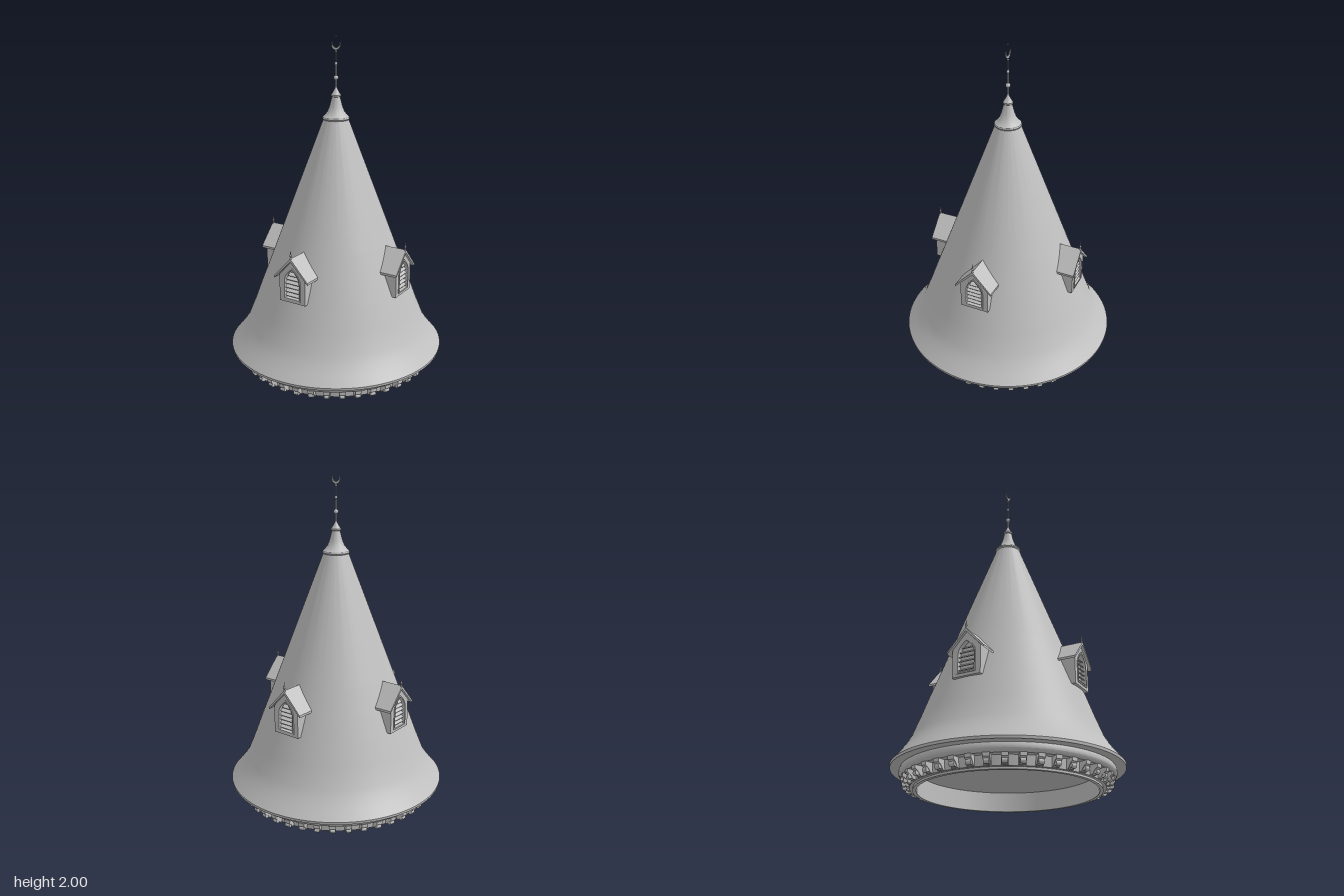
import * as THREE from 'three';
import { toCreasedNormals } from 'three/addons/utils/BufferGeometryUtils.js';

const stone = new THREE.MeshStandardMaterial({ color: 0xc0c0c0 });
stone.name = 'pale grey';

function add(parent, name, geometry, x = 0, y = 0, z = 0) {
  const mesh = new THREE.Mesh(geometry, stone);
  mesh.name = name;
  mesh.position.set(x, y, z);
  parent.add(mesh);
  return mesh;
}

// Turned solid from [radius, height] pairs, listed from the bottom up
function turned(points, segments = 96) {
  const profile = points.map(([r, y]) => new THREE.Vector2(r, y));
  return toCreasedNormals(new THREE.LatheGeometry(profile, segments), 0.5);
}

function polygon(points) {
  return new THREE.Shape(points.map(([x, y]) => new THREE.Vector2(x, y)));
}

function extrude(shape, depth, curveSegments = 8) {
  return new THREE.ExtrudeGeometry(shape, { depth, bevelEnabled: false, curveSegments });
}

// Pointed arch outline, grown outward by an offset
function archPath(Type, offset = 0) {
  const w = 0.05 + offset, bottom = 0.555 - offset, spring = 0.65, top = 0.732 + offset * 1.3;
  const p = new Type();
  p.moveTo(-w, bottom);
  p.lineTo(w, bottom);
  p.lineTo(w, spring);
  p.quadraticCurveTo(w, spring + 0.05, 0, top);
  p.quadraticCurveTo(-w, spring + 0.05, -w, spring);
  p.lineTo(-w, bottom);
  return p;
}

function createDormer() {
  const dormer = new THREE.Group();
  dormer.name = 'dormer';
  const outline = [[-0.0875, 0.53], [0.0875, 0.53], [0.0875, 0.692], [0, 0.784], [-0.0875, 0.692]];

  // Solid body and a front wall pierced by the window
  add(dormer, 'dormerBody', extrude(polygon(outline), 0.14), 0, 0, 0.3);
  const wall = polygon(outline);
  wall.holes.push(archPath(THREE.Path));
  add(dormer, 'dormerFrontWall', extrude(wall, 0.025), 0, 0, 0.44);

  // Raised window surround
  const frame = archPath(THREE.Shape, 0.008);
  frame.holes.push(archPath(THREE.Path));
  add(dormer, 'windowFrame', extrude(frame, 0.005), 0, 0, 0.465);

  // Sloping louvres
  for (let i = 0; i < 6; i++) {
    const width = i < 4 ? 0.1 : i === 4 ? 0.088 : 0.06;
    const slat = add(dormer, 'louvre', new THREE.BoxGeometry(width, 0.005, 0.024), 0, 0.572 + i * 0.025, 0.45);
    slat.rotation.x = 0.6;
  }

  // Gabled roof
  const roof = polygon([[-0.115, 0.68], [-0.115, 0.667], [0, 0.784], [0.115, 0.667], [0.115, 0.68], [0, 0.803]].reverse());
  add(dormer, 'dormerRoof', extrude(roof, 0.18), 0, 0, 0.3);

  // Ridge spike
  const spike = turned([[0, 0.795], [0.006, 0.797], [0.004, 0.812], [0.007, 0.819], [0.004, 0.826], [0, 0.856]], 12);
  add(dormer, 'ridgeSpike', spike, 0, 0, 0.474);
  return dormer;
}

function createFinial() {
  const finial = new THREE.Group();
  finial.name = 'finial';

  // Bell-shaped cap with collars
  add(finial, 'finialCap', turned([
    [0.06, 1.515], [0.074, 1.516], [0.08, 1.525], [0.077, 1.535], [0.068, 1.542],
    [0.05, 1.565], [0.038, 1.595], [0.03, 1.625], [0.024, 1.65], [0.028, 1.653],
    [0.029, 1.662], [0.024, 1.668], [0.016, 1.682], [0.008, 1.697], [0.005, 1.71], [0, 1.71],
  ], 48));

  // Rod with beads
  add(finial, 'finialRod', new THREE.CylinderGeometry(0.0035, 0.0055, 0.225, 12), 0, 1.806, 0);
  for (const [y, r] of [[1.76, 0.014], [1.84, 0.009], [1.908, 0.006]]) {
    add(finial, 'finialBead', new THREE.SphereGeometry(r, 20, 14), 0, y, 0);
  }

  // Upturned crescent and the small point above it
  const moon = new THREE.Shape();
  moon.absarc(0, 0, 0.03, Math.PI - 0.571, Math.PI * 2 + 0.571, false);
  moon.absarc(0, 0.01, 0.026, 0.241, Math.PI - 0.241, true);
  add(finial, 'crescent', extrude(moon, 0.006, 24), 0, 1.946, -0.003);
  add(finial, 'topPoint', new THREE.OctahedronGeometry(0.005), 0, 1.995, 0);
  return finial;
}

export function createModel() {
  const model = new THREE.Group();
  model.name = 'towerRoof';

  // Ceiling, inner wall and cornice under the eaves
  add(model, 'cornice', turned([
    [0, 0.113], [0.5, 0.113], [0.5, 0], [0.52, 0], [0.52, 0.012], [0.538, 0.012],
    [0.543, 0.066], [0.582, 0.066], [0.593, 0.074], [0.6, 0.085], [0.601, 0.1], [0.595, 0.115],
  ]));

  // Flared conical roof
  add(model, 'coneRoof', turned([
    [0.59, 0.115], [0.65, 0.115], [0.652, 0.13], [0.612, 0.178], [0.577, 0.225], [0.547, 0.275],
    [0.501, 0.39], [0.455, 0.515], [0.4, 0.656], [0.346, 0.8], [0.072, 1.525],
  ], 128));

  // Ring of scrolled brackets
  const bracket = new THREE.Shape();
  bracket.moveTo(0.53, 0.068);
  bracket.lineTo(0.53, 0.014);
  bracket.lineTo(0.552, 0.014);
  bracket.quadraticCurveTo(0.568, 0.042, 0.587, 0.048);
  bracket.lineTo(0.587, 0.068);
  const bracketGeometry = extrude(bracket, 0.036).translate(0, 0, -0.018);
  const scrollGeometry = new THREE.CylinderGeometry(0.014, 0.014, 0.03, 14).rotateX(Math.PI / 2);
  const count = 40;
  for (let i = 0; i < count; i++) {
    const group = new THREE.Group();
    group.name = 'bracket';
    group.rotation.y = (i / count) * Math.PI * 2;
    add(group, 'bracketBlock', bracketGeometry);
    add(group, 'bracketScroll', scrollGeometry, 0.567, 0.03, 0);
    model.add(group);
  }

  // Four dormers facing the four sides
  for (let i = 0; i < 4; i++) {
    const dormer = createDormer();
    dormer.rotation.y = (i * Math.PI) / 2;
    model.add(dormer);
  }

  model.add(createFinial());
  return model;
}
